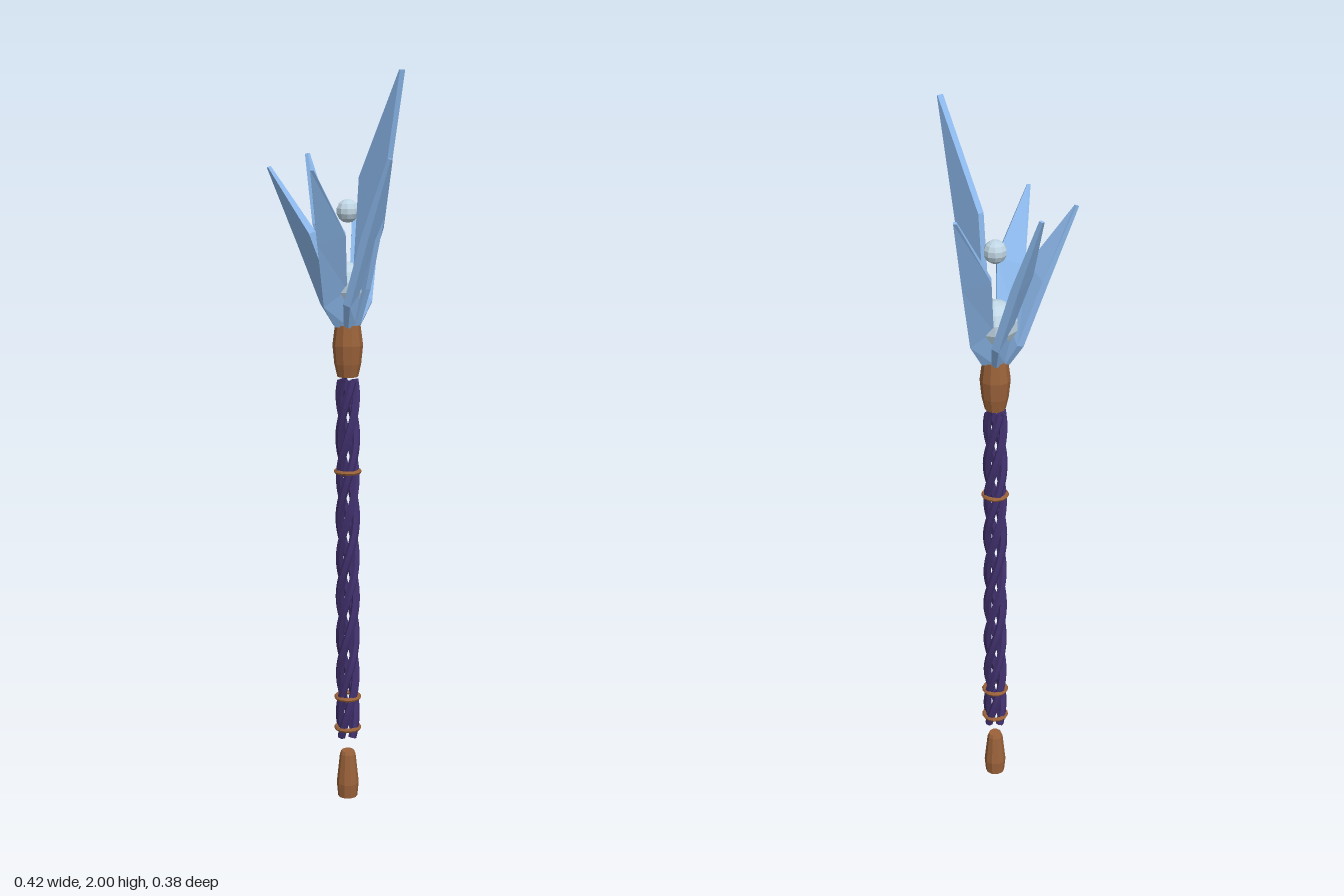
import * as THREE from 'three';

const mat = (color) => new THREE.MeshStandardMaterial({ color, flatShading: true });

// Lofts a closed solid through four-cornered sections, listed from base to tip
function loft(sections) {
  const pos = sections.flat(2), index = [], n = sections.length;
  for (let i = 0; i < n - 1; i++) {
    for (let k = 0; k < 4; k++) {
      const a = i * 4 + k, b = i * 4 + (k + 1) % 4;
      index.push(a, b, a + 4, b, b + 4, a + 4);
    }
  }
  const t = (n - 1) * 4;
  index.push(0, 2, 1, 0, 3, 2, t, t + 1, t + 2, t, t + 2, t + 3);
  const geo = new THREE.BufferGeometry();
  geo.setAttribute('position', new THREE.Float32BufferAttribute(pos, 3));
  geo.setIndex(index);
  const flat = geo.toNonIndexed();
  flat.computeVertexNormals();
  return flat;
}

export function createModel() {
  const root = new THREE.Group();
  const wood = mat(0x9a623a), cord = mat(0x40306c), crystal = mat(0x8fbcf0), pearl = mat(0xc0d6e4);

  const add = (name, geo, material, y = 0) => {
    const m = new THREE.Mesh(geo, material);
    m.name = name;
    m.position.y = y;
    root.add(m);
    return m;
  };
  const turned = (points) =>
    new THREE.LatheGeometry(points.map(([r, y]) => new THREE.Vector2(r, y)), 10);

  // Wooden end cap and head socket
  add('endCap', turned([[0, 0], [0.027, 0], [0.031, 0.04], [0.022, 0.125], [0.018, 0.135], [0, 0.135]]), wood);
  add('headSocket', turned([[0, 1.2], [0.028, 1.2], [0.036, 1.235], [0.041, 1.285], [0.034, 1.34], [0, 1.34]]), wood);

  // Shaft of four twisted strands
  const y0 = 0.18, y1 = 1.19, turns = 2.25;
  for (let s = 0; s < 4; s++) {
    const pts = [];
    for (let i = 0; i <= 36; i++) {
      const a = (i / 36) * turns * Math.PI * 2 + s * Math.PI / 2;
      pts.push(new THREE.Vector3(0.022 * Math.sin(a), y0 + (y1 - y0) * i / 36, 0.022 * Math.cos(a)));
    }
    add('shaftStrand', new THREE.TubeGeometry(new THREE.CatmullRomCurve3(pts), 72, 0.0115, 6), cord);
  }
  cord.side = THREE.DoubleSide;

  // Binding rings
  for (const y of [0.205, 0.295, 0.94]) {
    add('bindingRing', new THREE.TorusGeometry(0.032, 0.006, 6, 16).rotateX(Math.PI / 2), wood, y);
  }

  // Floating orbs
  add('largeOrb', new THREE.SphereGeometry(0.062, 10, 7), pearl, 1.445);
  add('smallOrb', new THREE.SphereGeometry(0.031, 10, 7), pearl, 1.64);

  // Leaning, twisted shards. Outer edges as [radius, height, offset] on the
  // low side and the high side, then the thickness
  const rows = [
    [[0.036, 0, -0.02], [0.022, 0, 0.015], 0.015],
    [[0.07, 0.06, -0.036], [0.05, 0.11, 0.022], 0.022],
    [[0.135, 0.24, -0.022], [0.105, 0.265, 0.045], 0.022],
    [[0.211, 0.445, -0.003], [0.208, 0.445, 0.005], 0.01],
  ];
  const outer = ([r, y, w]) => [r, y, -w];
  const inner = ([r, y, w], t) => [r - 0.8 * t, y + 0.3 * t, -w + 0.45 * t];
  const shardGeo = loft(rows.map(([low, high, t]) =>
    [inner(low, t), outer(low), outer(high), inner(high, t)]));
  for (const [deg, height] of [[4, 1], [61, 0.94], [120, 0.94], [183, 1], [244, 1]]) {
    const shard = add('crystalShard', shardGeo, crystal, 1.335);
    shard.rotation.y = -deg * Math.PI / 180;
    shard.scale.y = height;
  }

  // Tall shard standing edge-on to the axis
  const outline = new THREE.Shape([
    [0.005, 1.34], [0.035, 1.34], [0.075, 1.44], [0.125, 1.62], [0.202, 2],
    [0.199, 2], [0.048, 1.73], [0.028, 1.5], [0.0, 1.38],
  ].map(([x, y]) => new THREE.Vector2(x, y)));
  const tallGeo = new THREE.ExtrudeGeometry(outline, { depth: 0.018, bevelEnabled: false });
  const tall = add('tallCrystalShard', tallGeo.translate(0, 0, -0.014), crystal);
  tall.rotation.y = 0.1;

  return root;
}
